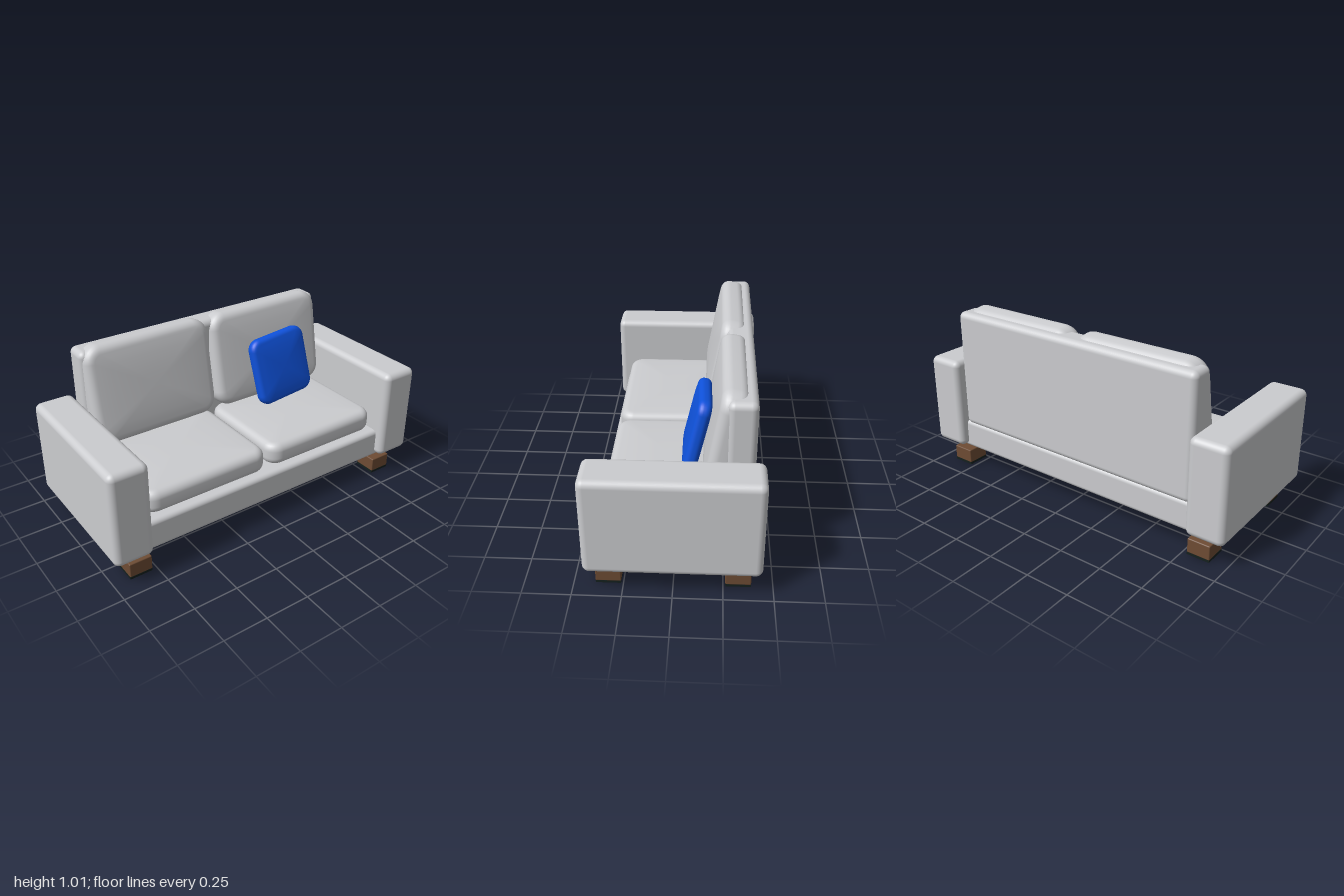
import * as THREE from 'three';
import { RoundedBoxGeometry } from 'three/addons/geometries/RoundedBoxGeometry.js';

const material = (name, color) => {
  const m = new THREE.MeshStandardMaterial({ color });
  m.name = name;
  return m;
};

// Rounded rectangle outline, counter-clockwise, centred on the origin
function outline(w, h, r, steps = 8) {
  const points = [];
  const corners = [[1, 1], [-1, 1], [-1, -1], [1, -1]];
  corners.forEach(([sx, sy], c) => {
    for (let i = 0; i <= steps; i++) {
      const a = (c + i / steps) * Math.PI / 2;
      points.push([sx * (w / 2 - r) + r * Math.cos(a), sy * (h / 2 - r) + r * Math.sin(a)]);
    }
  });
  return points;
}

// Soft cushion: stacked rounded outlines with round edges and domed faces along z
function cushionGeometry(w, h, d, corner, edge, puff) {
  const half = [];
  for (const s of [0, 0.25, 0.5, 0.75, 0.9, 1]) {
    half.push({ s, inset: edge, z: d / 2 - puff * s ** 3 });
  }
  for (let i = 1; i <= 6; i++) {
    const a = (1 - i / 6) * Math.PI / 2;
    half.push({ s: 1, inset: edge * (1 - Math.cos(a)), z: d / 2 - puff - edge * (1 - Math.sin(a)) });
  }
  const rings = [...half.map(p => ({ ...p, z: -p.z })), ...half.slice().reverse()];
  const positions = [], index = [];
  let n = 0;
  rings.forEach(({ s, inset, z }, i) => {
    const pts = outline(w - 2 * inset, h - 2 * inset, Math.max(corner - inset, 0.01));
    n = pts.length;
    pts.forEach(([x, y], j) => {
      positions.push(x * s, y * s, z);
      if (i === rings.length - 1) return;
      const a = i * n + j, b = i * n + (j + 1) % n;
      index.push(a, b, b + n, a, b + n, a + n);
    });
  });
  const g = new THREE.BufferGeometry();
  g.setAttribute('position', new THREE.Float32BufferAttribute(positions, 3));
  g.setIndex(index);
  g.computeVertexNormals();
  return g;
}

export function createModel() {
  const group = new THREE.Group();
  group.name = 'sofa';
  const fabric = material('light grey fabric', 0xcbcccf);
  const blue = material('blue fabric', 0x0f52dc);
  const wood = material('brown wood', 0x6e4c34);
  const rubber = material('dark rubber', 0x14201e);

  const add = (name, geometry, mat, x, y, z) => {
    const mesh = new THREE.Mesh(geometry, mat);
    mesh.name = name;
    mesh.position.set(x, y, z);
    group.add(mesh);
    return mesh;
  };
  // Rounded block given by its minimum and maximum corners
  const block = (name, mat, [x0, y0, z0], [x1, y1, z1], r) =>
    add(name, new RoundedBoxGeometry(x1 - x0, y1 - y0, z1 - z0, 4, r), mat,
      (x0 + x1) / 2, (y0 + y1) / 2, (z0 + z1) / 2);

  // Frame
  block('base', fabric, [-0.88, 0.127, -0.39], [0.88, 0.3, 0.39], 0.025);
  block('backrest', fabric, [-0.785, 0.285, -0.392], [0.785, 0.982, -0.247], 0.035);

  const seat = cushionGeometry(0.76, 0.62, 0.152, 0.08, 0.045, 0.01).rotateX(-Math.PI / 2);
  const back = cushionGeometry(0.765, 0.562, 0.16, 0.095, 0.05, 0.012);

  for (const side of [1, -1]) {
    const label = side > 0 ? 'left' : 'right';
    const arm = block(label + 'Arm', fabric, [0.78, 0.14, -0.44], [1, 0.682, 0.44], 0.036);
    arm.position.x *= side;

    add(label + 'SeatCushion', seat, fabric, side * 0.39, 0.37, 0.05);
    add(label + 'BackCushion', back, fabric, side * 0.39, 0.727, -0.243).rotation.x = -0.175;

    // Feet with dark pads underneath
    for (const end of [1, -1]) {
      const where = label + (end > 0 ? 'Front' : 'Back');
      add(where + 'Leg', new RoundedBoxGeometry(0.13, 0.083, 0.13, 2, 0.006), wood,
        side * 0.842, 0.0535, end * 0.326);
      add(where + 'LegPad', new THREE.BoxGeometry(0.128, 0.014, 0.128), rubber,
        side * 0.842, 0.007, end * 0.326);
    }
  }

  // Throw pillow leaning on the left back cushion
  const pillow = add('throwPillow', cushionGeometry(0.385, 0.405, 0.095, 0.065, 0.03, 0.012), blue,
    0.418, 0.65, -0.1);
  pillow.rotation.set(-0.23, 0, 0.085);

  return group;
}
